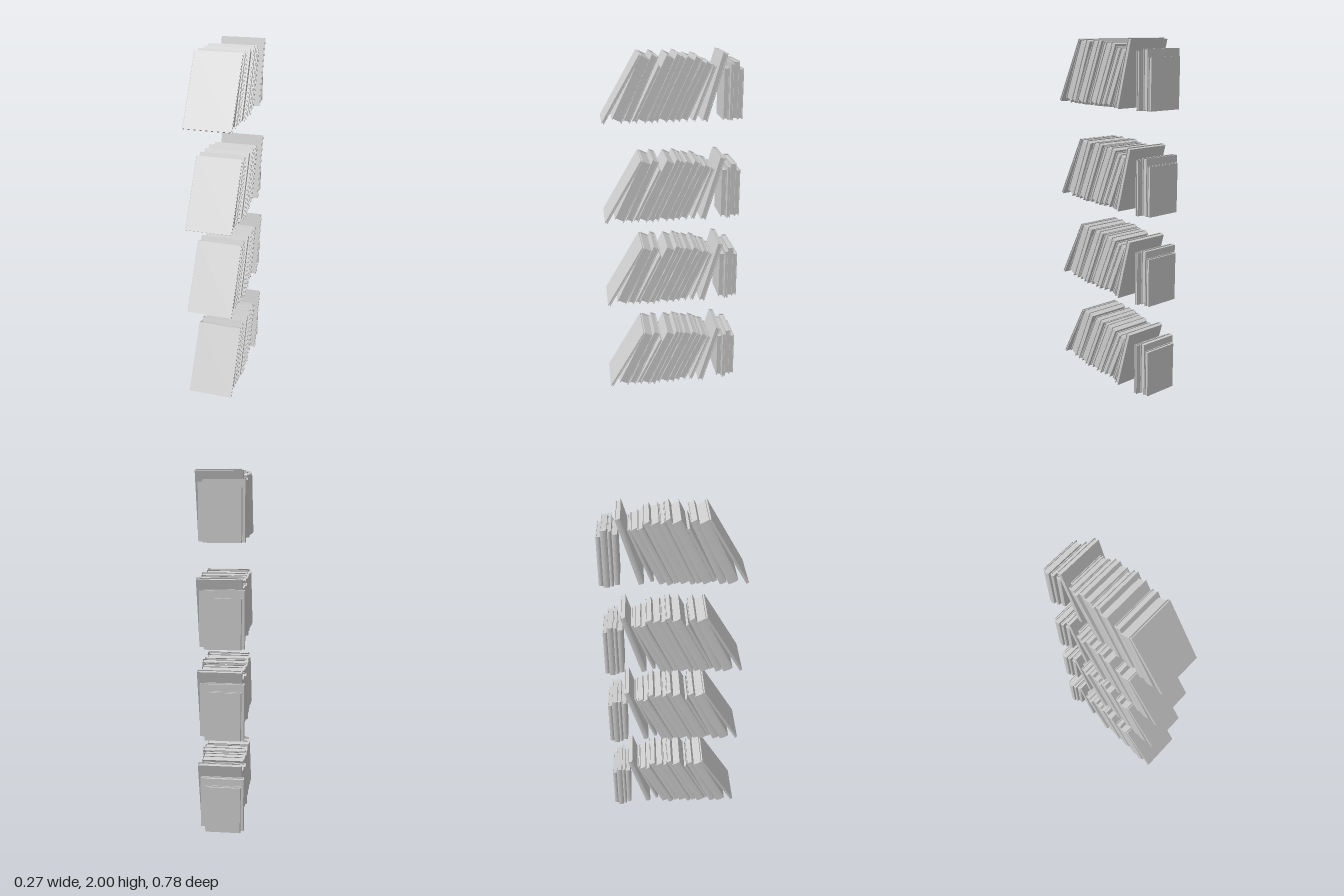
import * as THREE from 'three';

const grey = new THREE.MeshStandardMaterial({ color: 0xcccccc, flatShading: true });
const BOARD = 0.004;   // cover thickness
const INSET = 0.006;   // pages sit back from the cover edges

// Leaning books: x from, x to, top z back, top z front, top y, foot z (back corner)
const leaning = [
  [-0.13, 0.13, 0.168, 0.181, 0.362, 0.375],
  [-0.135, 0.123, 0.12, 0.17, 0.36, 0.282],
  [-0.133, 0.125, 0.08, 0.113, 0.362, 0.237],
  [-0.108, 0.125, 0.055, 0.079, 0.305, 0.2],
  [-0.13, 0.132, -0.012, 0.035, 0.36, 0.153],
  [-0.122, 0.137, -0.045, -0.018, 0.365, 0.118],
  [-0.13, 0.122, -0.07, -0.046, 0.35, 0.087],
  [-0.122, 0.127, -0.12, -0.075, 0.35, 0.038],
  [-0.118, 0.128, -0.153, -0.121, 0.35, 0.0],
  [-0.133, 0.118, -0.181, -0.154, 0.325, -0.033],
  [-0.122, 0.112, -0.216, -0.182, 0.32, -0.075],
  [-0.092, 0.112, -0.233, -0.217, 0.3, -0.12],
  [-0.118, 0.134, -0.29, -0.263, 0.368, -0.183],
];

// Upright books: x from, x to, z back, z front, height
const upright = [
  [-0.112, 0.088, -0.309, -0.281, 0.282],
  [-0.126, 0.113, -0.33, -0.311, 0.305],
  [-0.137, 0.085, -0.364, -0.332, 0.315],
  [-0.12, 0.08, -0.389, -0.365, 0.275],
];

// A closed book: spine at x0, open edge at x1, back cover on z = 0
function makeBook(x0, x1, thick, height) {
  const book = new THREE.Group();
  book.name = 'book';
  const h = thick / 2, i = h - BOARD, s = x0 + 0.004;
  // U-shaped cover with a gently rounded spine
  const shape = new THREE.Shape();
  shape.moveTo(x1, h);
  shape.lineTo(s, h);
  shape.quadraticCurveTo(x0 - 0.004, 0, s, -h);
  shape.lineTo(x1, -h);
  shape.lineTo(x1, -i);
  shape.lineTo(s + BOARD, -i);
  shape.lineTo(s + BOARD, i);
  shape.lineTo(x1, i);
  const coverGeo = new THREE.ExtrudeGeometry(shape, { depth: height, bevelEnabled: false, curveSegments: 4 });
  coverGeo.rotateX(-Math.PI / 2).translate(0, 0, h);
  const cover = new THREE.Mesh(coverGeo, grey);
  cover.name = 'cover';
  // page block
  const left = s + BOARD, right = x1 - INSET;
  const pagesGeo = new THREE.BoxGeometry(right - left, height - 2 * INSET, i * 2);
  pagesGeo.translate((left + right) / 2, height / 2, h);
  const pages = new THREE.Mesh(pagesGeo, grey);
  pages.name = 'pages';
  book.add(cover, pages);
  return book;
}

function makeRow() {
  const row = new THREE.Group();
  row.name = 'bookRow';
  for (const [x0, x1, zb, zf, top, foot] of leaning) {
    // lean angle and size follow from the foot and the top edge
    const run = foot - zb, width = zf - zb;
    let angle = Math.atan2(run, top);
    for (let k = 0; k < 5; k++) angle = Math.atan2(run, top - width * Math.tan(angle));
    const book = makeBook(x0, x1, width / Math.cos(angle), run / Math.sin(angle));
    book.rotation.x = -angle;
    book.position.z = foot;
    row.add(book);
  }
  for (const [x0, x1, zb, zf, height] of upright) {
    const book = makeBook(x0, x1, zf - zb, height);
    book.position.z = zb;
    row.add(book);
  }
  return row;
}

export function createModel() {
  const model = new THREE.Group();
  model.name = 'bookRows';
  // four identical rows, one per shelf level
  const row = makeRow();
  [0, 0.554, 1.068, 1.632].forEach((y) => {
    const copy = row.clone();
    copy.position.y = y;
    model.add(copy);
  });
  return model;
}
